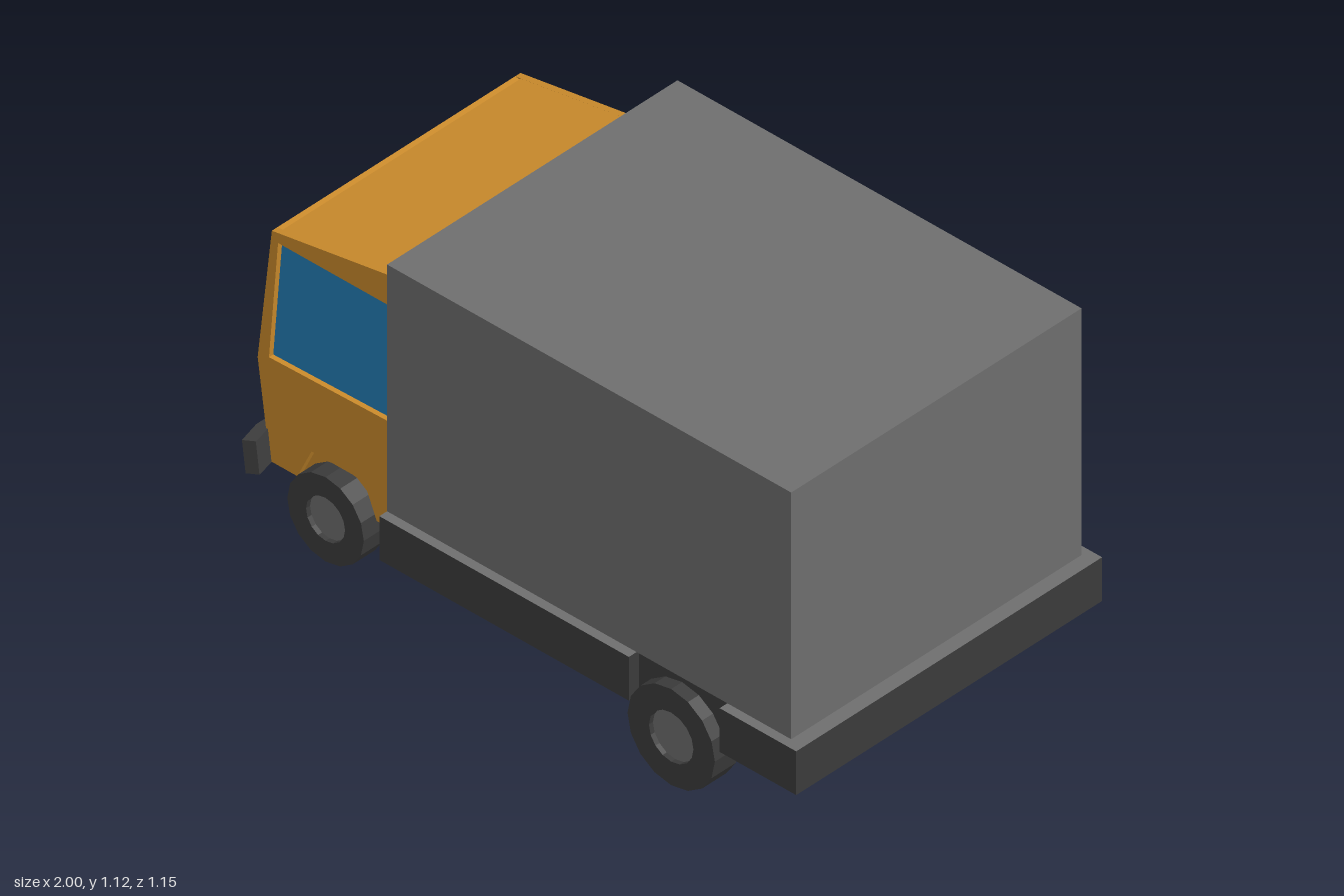
import * as THREE from 'three';

const mat = (name, color, extra = {}) => {
  const m = new THREE.MeshStandardMaterial({ color, flatShading: true, ...extra });
  m.name = name;
  return m;
};

export function createModel() {
  const orange = mat('cab orange', 0xcc8c2c);
  const blue = mat('glass blue', 0x247eb8);
  const grey = mat('cargo grey', 0x6f6f6f);
  const dark = mat('chassis dark', 0x3c3c3c);
  const black = mat('underside black', 0x1f1f1f);

  const truck = new THREE.Group();
  truck.name = 'boxTruck';

  const add = (name, geo, material, parent = truck) => {
    const mesh = new THREE.Mesh(geo, material);
    mesh.name = name;
    parent.add(mesh);
    return mesh;
  };
  const shape = pts => new THREE.Shape(pts.map(p => new THREE.Vector2(...p)));
  const extrude = (s, depth) => new THREE.ExtrudeGeometry(s, { depth, bevelEnabled: false });
  // Box given by its limits on each axis
  const block = (x0, x1, y0, y1, z0, z1) =>
    new THREE.BoxGeometry(x1 - x0, y1 - y0, z1 - z0)
      .translate((x0 + x1) / 2, (y0 + y1) / 2, (z0 + z1) / 2);

  // Cab: solid core with outer panels whose openings make recessed windows
  const cab = new THREE.Group();
  cab.name = 'cab';
  truck.add(cab);
  const HALF = 0.465, SKIN = 0.02, inner = HALF - SKIN;

  const core = shape([[-0.957, 0.2], [-0.47, 0.2], [-0.47, 1.02], [-0.93, 0.943],
    [-0.98, 0.51], [-1, 0.51]]);
  add('cabCore', extrude(core, 2 * inner).translate(0, 0, -inner), orange, cab);
  add('cabUnderside', block(-0.955, -0.47, 0.195, 0.2, -inner, inner), black, cab);

  const sideWindow = [[-0.96, 0.53], [-0.535, 0.54], [-0.535, 0.912], [-0.928, 0.912]];
  const side = shape([[-0.957, 0.2], [-0.86, 0.2], [-0.81, 0.305], [-0.625, 0.305],
    [-0.58, 0.2], [-0.47, 0.2], [-0.47, 1.02], [-0.95, 0.94], [-1, 0.51]]);
  side.holes.push(shape(sideWindow));
  for (const s of [1, -1]) {
    add('cabSide', extrude(side, SKIN).translate(0, 0, s > 0 ? inner : -HALF), orange, cab);
    add('sideWindow', extrude(shape(sideWindow), 0.004)
      .translate(0, 0, s > 0 ? inner : -inner - 0.004), blue, cab);
  }

  // Sloping windscreen frame and glass
  const screen = new THREE.Group();
  screen.name = 'windscreen';
  screen.position.set(-1, 0.51, 0);
  screen.rotation.z = -Math.atan2(0.05, 0.43);
  cab.add(screen);
  const frame = shape([[-inner, 0], [inner, 0], [inner, 0.433], [-inner, 0.433]]);
  const glass = [[-0.4, 0.03], [0.4, 0.03], [0.4, 0.4], [-0.4, 0.4]];
  frame.holes.push(shape(glass));
  add('windscreenFrame', extrude(frame, SKIN).translate(0, 0, -SKIN).rotateY(-Math.PI / 2), orange, screen);
  add('windscreenGlass', extrude(shape(glass), 0.004).translate(0, 0, -SKIN).rotateY(-Math.PI / 2), blue, screen);

  // Bumper: swept-back ends, leaning with the nose
  const bumper = extrude(shape([[-1, -0.47], [-0.98, -0.545], [-0.95, -0.525], [-0.965, -0.46],
    [-0.965, 0.46], [-0.95, 0.525], [-0.98, 0.545], [-1, 0.47]]), 0.1)
    .rotateX(-Math.PI / 2).translate(0, 0.198, 0);
  const p = bumper.attributes.position;
  for (let i = 0; i < p.count; i++) p.setX(i, p.getX(i) + (0.298 - p.getY(i)) * 0.13);
  bumper.computeVertexNormals();
  add('bumper', bumper, dark);

  // Chassis with grey deck and recesses over the rear wheels
  const deck = [dark, dark, grey, dark, dark, dark];
  add('chassisFront', block(-0.47, 0.41, 0.19, 0.33, -0.572, 0.572), deck);
  add('chassisMiddle', block(0.41, 0.73, 0.19, 0.33, -0.535, 0.535), dark);
  add('chassisRear', block(0.73, 1, 0.19, 0.33, -0.572, 0.572), deck);
  add('cargoBox', block(-0.47, 0.955, 0.33, 1.12, -0.543, 0.543), grey);

  // Wheels: dark tyre, recessed grey hub, grey inner disc
  const wheel = (name, x, y, r, zIn, zOut, s) => {
    const g = new THREE.Group();
    g.name = name;
    const w = zOut - zIn, hub = r * 0.51;
    const profile = [[r, 0], [r, w], [hub, w], [hub, w - 0.015]].map(q => new THREE.Vector2(...q));
    add('tyre', new THREE.LatheGeometry(profile, 16).rotateX(Math.PI / 2), dark, g);
    add('hub', new THREE.CircleGeometry(hub, 16).translate(0, 0, w - 0.015), grey, g);
    add('innerDisc', new THREE.CircleGeometry(r, 16).rotateY(Math.PI), grey, g);
    g.position.set(x, y, s * zIn);
    if (s < 0) g.rotation.y = Math.PI;
    truck.add(g);
  };
  for (const s of [1, -1]) {
    wheel('frontWheel', -0.72, 0.157, 0.135, 0.425, 0.508, s);
    wheel('rearWheel', 0.563, 0.154, 0.154, 0.485, 0.576, s);
  }
  return truck;
}
